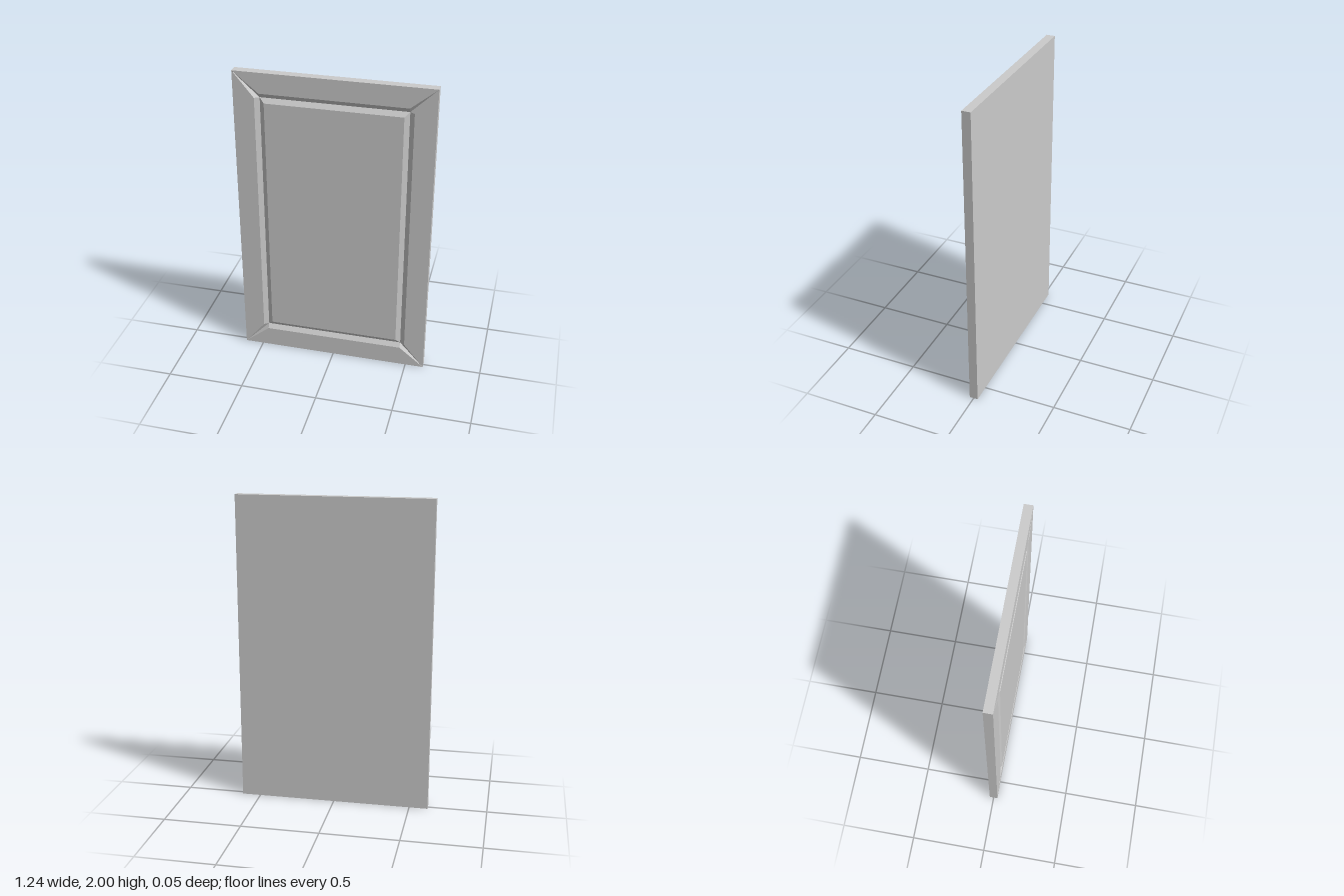
import * as THREE from 'three';

const HALF_W = 0.62, HALF_H = 1, FRONT = 0.0275, BACK = -0.0275;
const RAIL = 0.163;          // frame width up to the groove
const BEVEL = 0.03;          // width of each groove slope
const GROOVE = FRONT - 0.02; // z of the groove bottom

// corner signs, counter-clockwise from the front
const CORNERS = [[-1, -1], [1, -1], [1, 1], [-1, 1]];
const corner = (i, inset, z) => {
  const [sx, sy] = CORNERS[i % 4];
  return [sx * (HALF_W - inset), sy * (HALF_H - inset), z];
};

// flat-shaded geometry from convex polygons
function fromPolygons(polygons) {
  const pos = [];
  for (const p of polygons)
    for (let k = 1; k < p.length - 1; k++) pos.push(...p[0], ...p[k], ...p[k + 1]);
  const g = new THREE.BufferGeometry();
  g.setAttribute('position', new THREE.Float32BufferAttribute(pos, 3));
  g.computeVertexNormals();
  return g;
}

export function createModel() {
  const door = new THREE.Group();
  door.name = 'cabinetDoor';
  const material = new THREE.MeshStandardMaterial({ color: 0xcccccc, flatShading: true });
  const add = (name, polygons) => {
    const mesh = new THREE.Mesh(fromPolygons(polygons), material);
    mesh.name = name;
    mesh.position.y = HALF_H;
    door.add(mesh);
  };

  // frame: each side has an outer edge, a face, an inner slope and two mitre slopes
  const outward = [[0, -1], [1, 0], [0, 1], [-1, 0]];
  ['bottomRail', 'leftStile', 'topRail', 'rightStile'].forEach((name, i) => {
    const a0 = corner(i, 0, FRONT), a1 = corner(i + 1, 0, FRONT);
    const b0 = corner(i, RAIL, GROOVE), b1 = corner(i + 1, RAIL, GROOVE);
    const [nx, ny] = outward[i];
    const lift = ([x, y]) => [x + nx * BEVEL, y + ny * BEVEL, FRONT];
    const c0 = lift(b0), c1 = lift(b1);
    add(name, [
      [corner(i, 0, BACK), corner(i + 1, 0, BACK), a1, a0],
      [a0, a1, c1, c0],
      [c0, c1, b1, b0],
      [a0, c0, b0],
      [a1, b1, c1],
    ]);
  });

  // raised centre panel: four slopes and a flat face
  const ring = (inset, z) => [0, 1, 2, 3].map((i) => corner(i, inset, z));
  const low = ring(RAIL, GROOVE), high = ring(RAIL + BEVEL, FRONT);
  add('centrePanel', [
    high,
    ...low.map((p, i) => [p, low[(i + 1) % 4], high[(i + 1) % 4], high[i]]),
  ]);

  // plain back
  add('backFace', [ring(0, BACK).reverse()]);
  return door;
}
